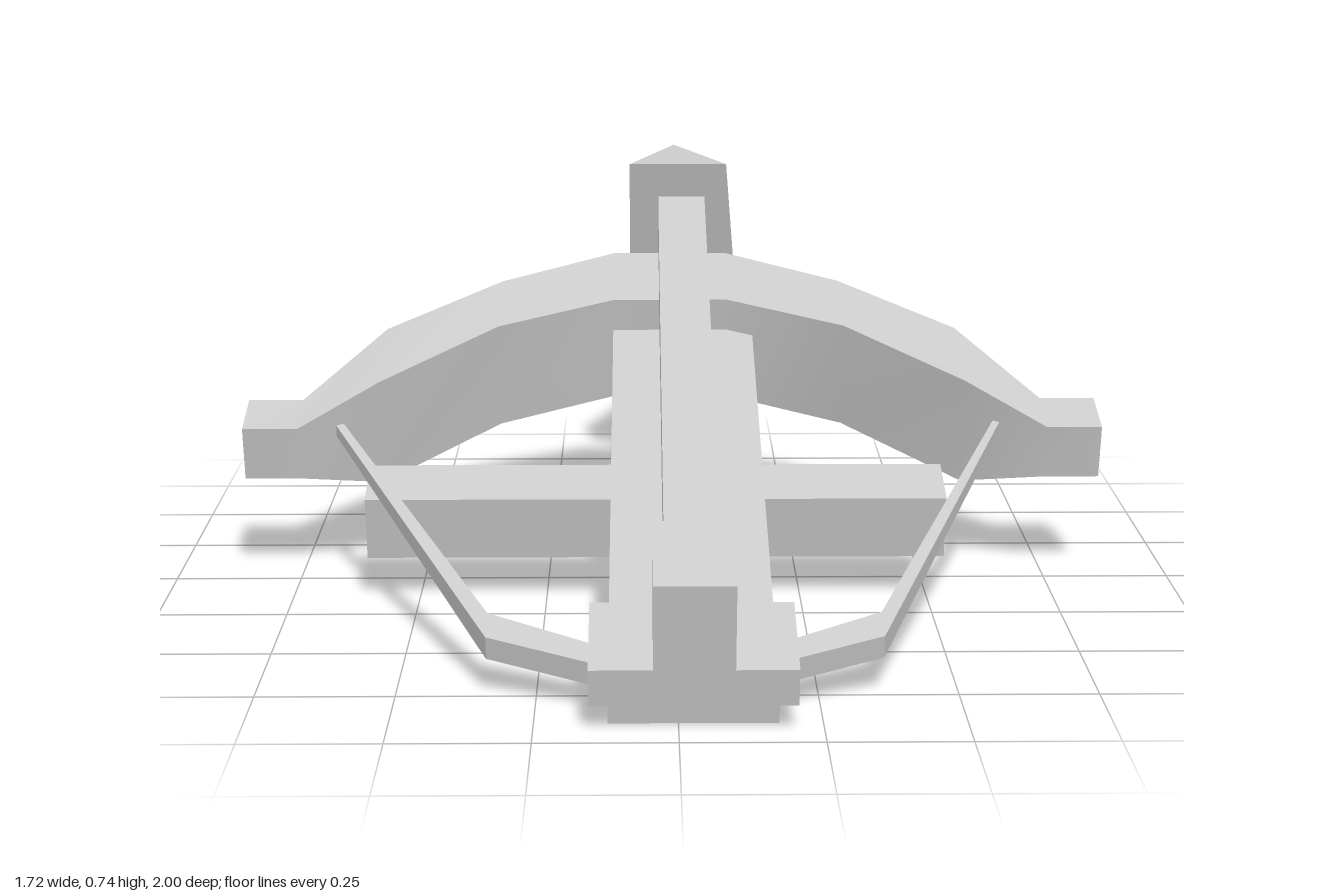
import * as THREE from 'three';
import { toCreasedNormals } from 'three/addons/utils/BufferGeometryUtils.js';
import { ConvexGeometry } from 'three/addons/geometries/ConvexGeometry.js';

const material = new THREE.MeshStandardMaterial({ color: 0xcccccc });

function add(parent, name, geometry) {
  const mesh = new THREE.Mesh(geometry, material);
  mesh.name = name;
  parent.add(mesh);
}

// Box given by its limits on each axis
function box(x0, x1, y0, y1, z0, z1) {
  return new THREE.BoxGeometry(x1 - x0, y1 - y0, z1 - z0)
    .translate((x0 + x1) / 2, (y0 + y1) / 2, (z0 + z1) / 2);
}

// Rectangular sections [x, z0, z1, y0, y1], joined in order of rising x
function loft(sections, crease) {
  const rings = sections.map(([x, z0, z1, y0, y1]) =>
    [[x, y0, z0], [x, y0, z1], [x, y1, z1], [x, y1, z0]]);
  const positions = [];
  const quad = (a, b, c, d) => positions.push(...a, ...b, ...c, ...a, ...c, ...d);
  for (let i = 0; i < rings.length - 1; i++) {
    const p = rings[i], q = rings[i + 1];
    for (let k = 0; k < 4; k++) {
      const n = (k + 1) % 4;
      quad(p[k], q[k], q[n], p[n]);
    }
  }
  const last = rings[rings.length - 1];
  quad(...rings[0]);
  quad(last[3], last[2], last[1], last[0]);
  const geometry = new THREE.BufferGeometry();
  geometry.setAttribute('position', new THREE.Float32BufferAttribute(positions, 3));
  geometry.computeVertexNormals();
  return toCreasedNormals(geometry, crease);
}

// Right half of the sections, from the middle outward, mirrored to both sides
function mirrored(half, shift = () => 0) {
  const side = s => half.map(([x, ...rest]) => [s * x + shift(x), ...rest]);
  return [...side(-1).reverse(), ...side(1)];
}

export function createModel() {
  const model = new THREE.Group();
  model.name = 'crossbow';

  // The whole weapon is built level, then its nose is raised
  const body = new THREE.Group();
  body.name = 'tiltedBody';
  body.rotation.x = THREE.MathUtils.degToRad(15);
  model.add(body);

  add(body, 'stock', box(-0.122, 0.174, 0.234, 0.296, -0.62, 0.868));
  add(body, 'crossBeam', box(-0.602, 0.533, 0.116, 0.247, -0.027, 0.112));

  // Bow limb: flat tips, tapering up into the thick curved middle
  add(body, 'bow', loft(mirrored([
    [0.12, -0.77, -0.533, 0.137, 0.367],
    [0.36, -0.626, -0.407, 0.137, 0.367],
    [0.59, -0.396, -0.155, 0.137, 0.367],
    [0.75, -0.205, -0.08, 0.188, 0.301],
    [0.86, -0.205, -0.08, 0.188, 0.301],
  ]), 0.65));

  // Drawn string, thin at the limbs and wide at the latch
  add(body, 'string', loft(mirrored([
    [0.165, 0.717, 0.78, 0.255, 0.3],
    [0.353, 0.614, 0.695, 0.255, 0.3],
    [0.67, -0.165, -0.125, 0.266, 0.29],
  ], x => (x > 0.5 ? -0.01 : 0.014)), 0.3));

  // Latch at the rear
  add(body, 'latchBase', box(-0.155, 0.206, 0.288, 0.36, 0.677, 0.896));
  add(body, 'latchBlock', box(-0.044, 0.097, 0.355, 0.526, 0.677, 0.896));

  // Bolt
  add(body, 'boltShaft', box(-0.024, 0.078, 0.342, 0.461, -0.88, 0.7));
  add(body, 'boltHead', new ConvexGeometry([
    [-0.087, 0.542, -0.855], [0.125, 0.542, -0.855],
    [-0.087, 0.276, -0.882], [0.146, 0.276, -0.882],
    [0.013, 0.461, -1.159],
  ].map(p => new THREE.Vector3(...p))));

  return model;
}
